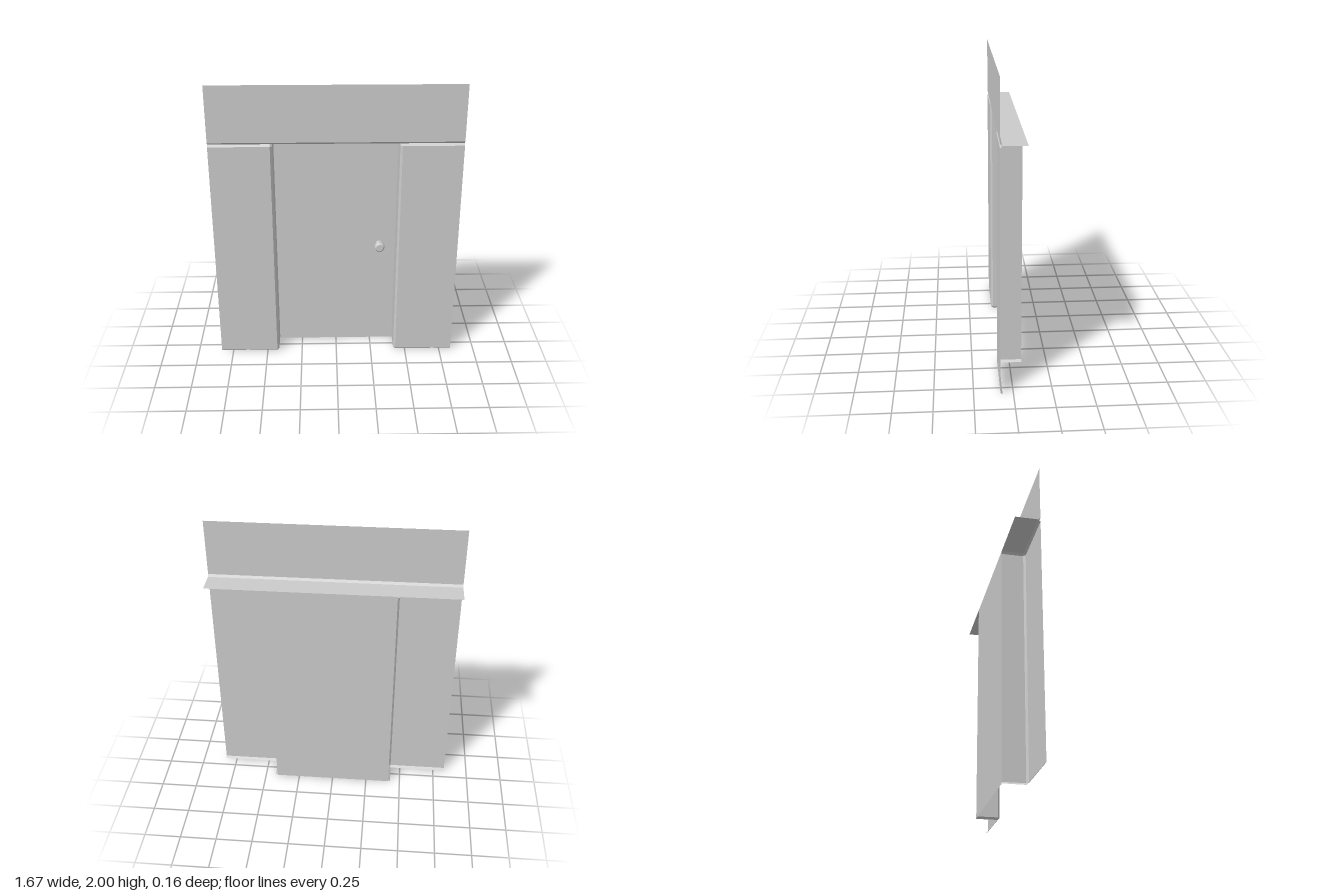
import * as THREE from 'three';

const W = 0.833, F = 0.082, B = -0.082;   // half width, front and back planes
const H = 1.603, TOP = 2;                 // opening height, total height
const JAMB = 0.416, C = 0.014;            // half width of the opening, bevel size

const material = new THREE.MeshStandardMaterial({
  color: 0xcccccc, flatShading: true, side: THREE.DoubleSide,
});

// Polygon sheet from 3 or 4 corners, counter-clockwise seen from outside
function sheet(name, ...corners) {
  const g = new THREE.BufferGeometry();
  g.setAttribute('position', new THREE.Float32BufferAttribute(corners.flat(), 3));
  g.setIndex(corners.length === 4 ? [0, 1, 2, 0, 2, 3] : [0, 1, 2]);
  g.computeVertexNormals();
  const mesh = new THREE.Mesh(g, material);
  mesh.name = name;
  return mesh;
}

// Side wall on +x: front face and jamb, joined by bevels
function sideWall() {
  const group = new THREE.Group();
  const x = JAMB + C, z = F - C, y0 = C, y1 = H - C;
  group.add(
    sheet('frontFace', [x, y0, F], [W, y0, F], [W, y1, F], [x, y1, F]),
    sheet('jamb', [JAMB, y0, B], [JAMB, y0, z], [JAMB, y1, z], [JAMB, y1, B]),
    sheet('cornerBevel', [JAMB, y0, z], [x, y0, F], [x, y1, F], [JAMB, y1, z]),
    sheet('frontTopBevel', [x, y1, F], [W, y1, F], [W, H, z], [x, H, z]),
    sheet('frontBottomBevel', [x, 0, z], [W, 0, z], [W, y0, F], [x, y0, F]),
    sheet('jambTopBevel', [JAMB, y1, B], [JAMB, y1, z], [x, H, z], [x, H, B]),
    sheet('jambBottomBevel', [x, 0, B], [x, 0, z], [JAMB, y0, z], [JAMB, y0, B]),
    sheet('topCorner', [JAMB, y1, z], [x, y1, F], [x, H, z]),
    sheet('bottomCorner', [x, 0, z], [x, y0, F], [JAMB, y0, z]),
  );
  return group;
}

// Turned knob standing out of the door along +z
function knob() {
  const profile = [
    [0, 0], [0.026, 0], [0.026, 0.008], [0.015, 0.014], [0.015, 0.03],
    [0.03, 0.038], [0.036, 0.048], [0.034, 0.06], [0.025, 0.068], [0, 0.068],
  ].map(([r, h]) => new THREE.Vector2(r, h));
  const mesh = new THREE.Mesh(new THREE.LatheGeometry(profile, 16), material);
  mesh.name = 'doorKnob';
  mesh.rotation.x = Math.PI / 2;
  mesh.position.set(0.305, 0.79, B);
  return mesh;
}

export function createModel() {
  const model = new THREE.Group();
  model.name = 'doorwayWall';

  // Both side walls
  for (const s of [1, -1]) {
    const wall = sideWall();
    wall.name = s > 0 ? 'leftWall' : 'rightWall';
    wall.scale.x = s;
    model.add(wall);
  }

  // Wall above the doorway with its bevel and deep underside
  const z = F - C, y = H + C;
  model.add(
    sheet('header', [-W, y, F], [W, y, F], [W, TOP, F], [-W, TOP, F]),
    sheet('headerBevel', [-W, H, z], [W, H, z], [W, y, F], [-W, y, F]),
    sheet('headerUnderside', [-W, H, B], [W, H, B], [W, H, z], [-W, H, z]),
  );

  // Recessed door
  model.add(
    sheet('door', [-JAMB, 0, B], [JAMB, 0, B], [JAMB, H, B], [-JAMB, H, B]),
    knob(),
  );
  return model;
}
